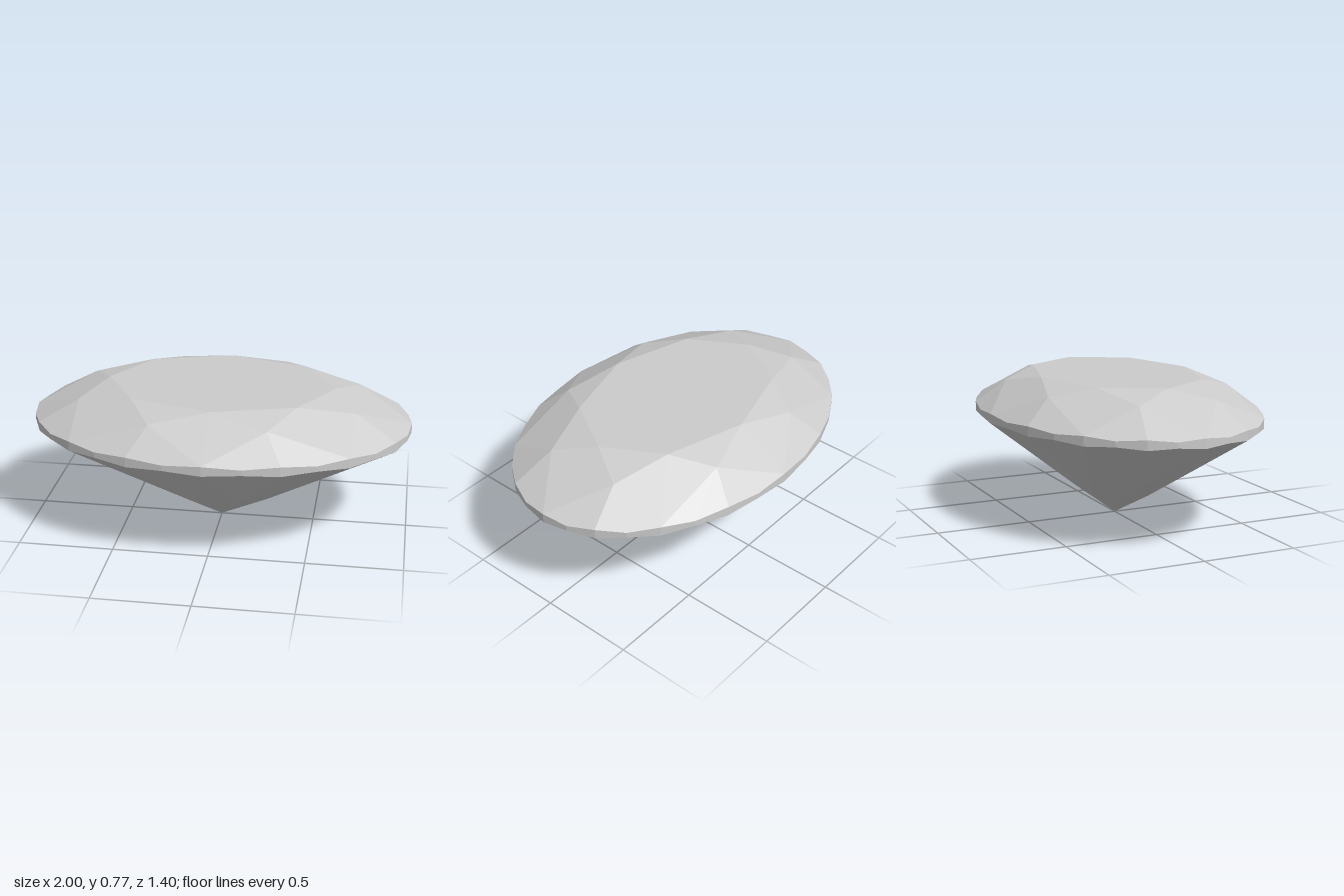
import * as THREE from 'three';

const DEPTH = 0.701;      // oval ratio, z radius against x radius
const STEP = Math.PI / 16; // 32 girdle divisions
const INNER = new THREE.Vector3(0, 0.5, 0);

// Point on an oval ring: index i of 32, ring radius r, height y
const pt = (i, r, y) => new THREE.Vector3(r * Math.cos(i * STEP), y, r * DEPTH * Math.sin(i * STEP));

// Rings of the cut; the girdle is thinner at odd points, giving the scalloped edge
const table = (i) => pt(i, 0.6, 0.768);
const star = (i) => pt(i, 0.78, 0.716);
const girdleTop = (i) => pt(i, 1, i % 2 ? 0.585 : 0.596);
const girdleBottom = (i) => pt(i, 1, i % 2 ? 0.556 : 0.545);
const pavilionPoint = (i) => pt(i, 0.28, 0.141);
const culet = new THREE.Vector3(0, 0, 0);

// Flat facets as triangle fans, each turned to face away from the stone's inside
function facetMesh(name, facets) {
  const points = [];
  for (const f of facets) {
    for (let k = 1; k < f.length - 1; k++) {
      const [a, b, c] = [f[0], f[k], f[k + 1]];
      const normal = b.clone().sub(a).cross(c.clone().sub(a));
      const outward = normal.dot(a.clone().sub(INNER)) > 0;
      points.push(...(outward ? [a, b, c] : [a, c, b]));
    }
  }
  const geometry = new THREE.BufferGeometry().setFromPoints(points);
  geometry.computeVertexNormals();
  const material = new THREE.MeshStandardMaterial({ color: 0xcccccc, flatShading: true });
  const mesh = new THREE.Mesh(geometry, material);
  mesh.name = name;
  return mesh;
}

export function createModel() {
  const tableFacet = [], stars = [], bezels = [], upperHalves = [];
  const girdle = [], mains = [], lowerHalves = [];

  // Eightfold symmetry, four girdle steps per sector
  for (let i = 0; i < 32; i += 4) {
    const s = i + 2, next = i + 4;
    tableFacet.push(table(i));
    stars.push([table(i), star(s), table(next)]);
    bezels.push([table(i), star(i - 2), girdleTop(i), star(s)]);
    mains.push([culet, pavilionPoint(i - 2), girdleBottom(i), pavilionPoint(s)]);
    for (const g of [i, s]) {
      upperHalves.push([star(s), girdleTop(g), girdleTop(g + 1), girdleTop(g + 2)]);
      lowerHalves.push([pavilionPoint(s), girdleBottom(g), girdleBottom(g + 1), girdleBottom(g + 2)]);
    }
    for (let g = i; g < next; g++) {
      girdle.push([girdleTop(g), girdleTop(g + 1), girdleBottom(g + 1), girdleBottom(g)]);
    }
  }

  const crown = new THREE.Group();
  crown.name = 'crown';
  crown.add(
    facetMesh('table', [tableFacet]),
    facetMesh('starFacets', stars),
    facetMesh('bezelFacets', bezels),
    facetMesh('upperGirdleFacets', upperHalves)
  );

  const pavilion = new THREE.Group();
  pavilion.name = 'pavilion';
  pavilion.add(
    facetMesh('pavilionMainFacets', mains),
    facetMesh('lowerGirdleFacets', lowerHalves)
  );

  const gem = new THREE.Group();
  gem.name = 'ovalGem';
  gem.add(crown, facetMesh('girdle', girdle), pavilion);
  return gem;
}
